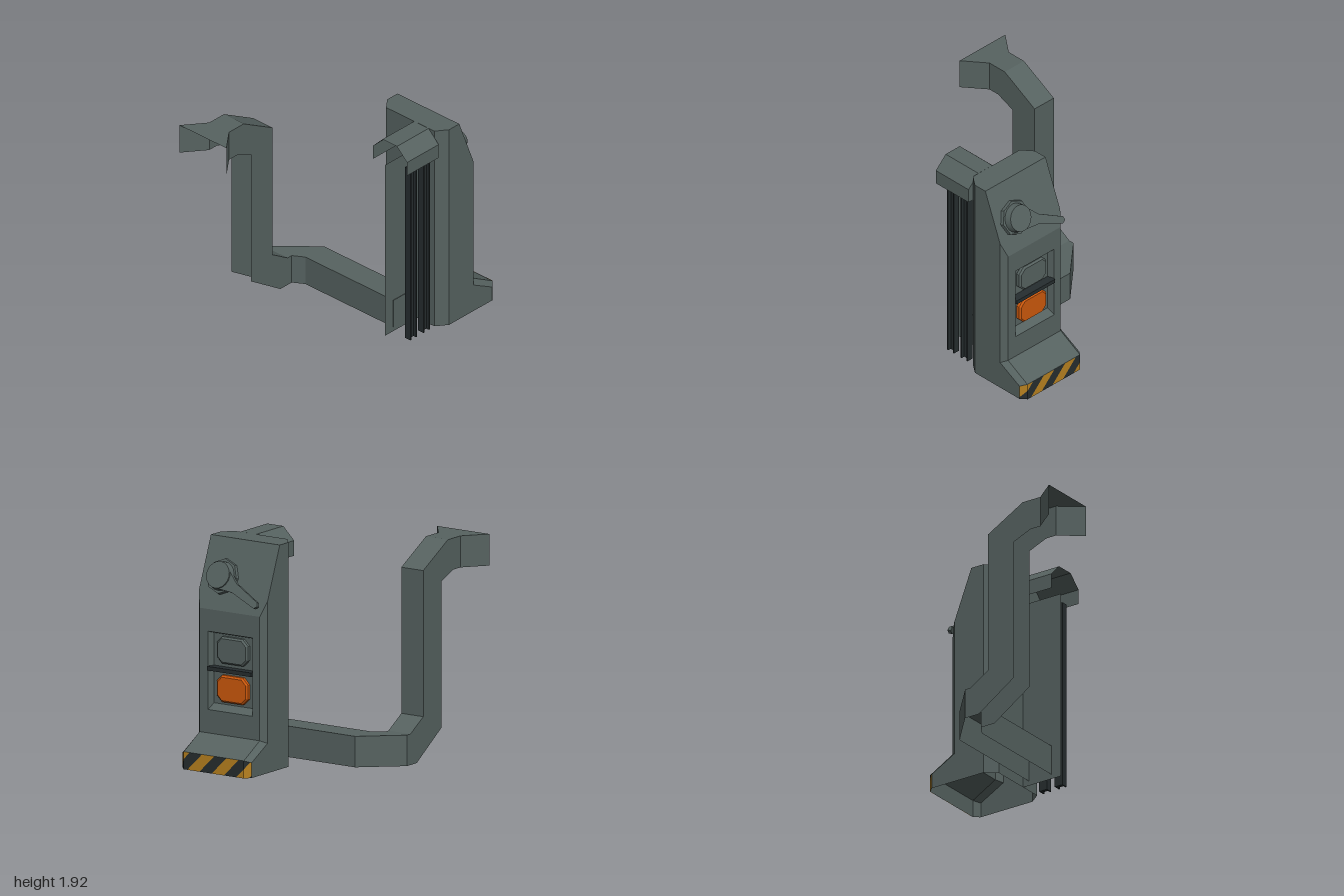
import * as THREE from 'three';

const paint = (name, color) =>
  new THREE.MeshStandardMaterial({ name, color, side: THREE.DoubleSide });

// Flat-faced mesh from convex polygons of [x, y, z] corners
function facets(name, polygons, material) {
  const positions = [];
  for (const p of polygons) {
    for (let i = 1; i < p.length - 1; i++) positions.push(...p[0], ...p[i], ...p[i + 1]);
  }
  const geometry = new THREE.BufferGeometry();
  geometry.setAttribute('position', new THREE.Float32BufferAttribute(positions, 3));
  geometry.computeVertexNormals();
  return named(name, geometry, material);
}

function named(name, geometry, material) {
  const mesh = new THREE.Mesh(geometry, material);
  mesh.name = name;
  return mesh;
}

// Quads joining successive cross-sections
function loft(loops, closed, skip = () => false) {
  const quads = [];
  for (let l = 0; l < loops.length - 1; l++) {
    const lo = loops[l], hi = loops[l + 1], n = lo.length;
    for (let i = 0; i < (closed ? n : n - 1); i++) {
      const j = (i + 1) % n;
      if (!skip(l, i)) quads.push([lo[i], lo[j], hi[j], hi[i]]);
    }
  }
  return quads;
}

// Keeps the part of a 2D polygon where f(point) >= 0
function clip(polygon, f) {
  const out = [];
  polygon.forEach((p, i) => {
    const q = polygon[(i + 1) % polygon.length], a = f(p), b = f(q);
    if (a >= 0) out.push(p);
    if (a * b < 0) {
      const t = a / (a - b);
      out.push([p[0] + (q[0] - p[0]) * t, p[1] + (q[1] - p[1]) * t]);
    }
  });
  return out;
}

export function createModel() {
  const model = new THREE.Group();
  model.name = 'controlPost';
  const grey = paint('greyMetal', 0x566260);
  const dark = paint('darkMetal', 0x262d2f);
  const yellow = paint('warningYellow', 0xb8811f);
  const orange = paint('buttonOrange', 0xcc580c);

  // Cabinet: stacked octagonal sections, open underneath
  const section = (back, sideY, sideZ, frontY, frontZ) => [
    [0.25, back, -0.32], [0.8, back, -0.32], [0.875, back, -0.42],
    [0.875, sideY, sideZ], [0.83, frontY, frontZ], [0.215, frontY, frontZ],
    [0.17, sideY, sideZ], [0.17, back, -0.42],
  ];
  const levels = [
    section(0, 0, -0.95, 0, -1),
    section(0.14, 0.13, -0.95, 0.15, -1),
    section(0.26, 0.255, -0.72, 0.28, -0.77),
    section(1.4, 1.47, -0.72, 1.34, -0.77),
    section(1.92, 1.92, -0.545, 1.92, -0.545),
  ];
  const shell = loft(levels, true, (l, i) => l === 2 && i === 4);
  shell.push(levels[4]);
  model.add(facets('cabinet', shell, grey));

  // Front panel with a recessed button bay
  const frame = (x0, x1, y0, y1, z) => [[x1, y0, z], [x0, y0, z], [x0, y1, z], [x1, y1, z]];
  const bay = [
    frame(0.215, 0.83, 0.28, 1.34, -0.77),
    frame(0.29, 0.745, 0.48, 1.15, -0.77),
    frame(0.31, 0.725, 0.53, 1.13, -0.71),
  ];
  model.add(facets('buttonBay', [...loft(bay, true), bay[2]], grey));

  // Buttons with cut corners and the bar between them
  const w = 0.145, h = 0.1, c = 0.045;
  const outline = [[-w + c, -h], [w - c, -h], [w, -h + c], [w, h - c],
    [w - c, h], [-w + c, h], [-w, h - c], [-w, -h + c]];
  const buttonShape = new THREE.Shape(outline.map(([x, y]) => new THREE.Vector2(x, y)));
  for (const [name, y, material] of [['upperButton', 1.0, grey], ['lowerButton', 0.67, orange]]) {
    const button = named(name, new THREE.ExtrudeGeometry(buttonShape, {
      depth: 0.025, bevelThickness: 0.015, bevelSize: 0.015, bevelSegments: 1,
    }), material);
    button.position.set(0.515, y, -0.74);
    model.add(button);
  }
  const bar = named('buttonBar', new THREE.BoxGeometry(0.45, 0.035, 0.08), dark);
  bar.position.set(0.5175, 0.835, -0.745);
  model.add(bar);

  // Diagonal warning stripes wrapped around the toe
  const chamfer = 0.067, total = 0.749, off = 0.003;
  const sides = [
    [0, chamfer, (s, y) => [0.875 - s * 0.67, y, -0.95 - s * 0.745 - off]],
    [chamfer, total - chamfer, (s, y) => [0.83 - (s - chamfer), y, -1]],
    [total - chamfer, total, (s, y) => [0.17 + (total - s) * 0.67, y, -0.95 - (total - s) * 0.745 - off]],
  ];
  const stripes = { dark: [], yellow: [] };
  for (let k = -2; k < 7; k++) {
    const a = -0.02 + k * 0.125, b = a + 0.125;
    for (const [s0, s1, place] of sides) {
      let p = [[a, 0], [b, 0], [b + 0.15, 0.15], [a + 0.15, 0.15]];
      p = clip(p, ([s]) => s - s0);
      p = clip(p, ([s]) => s1 - s);
      p = clip(p, ([s, y]) => 0.13 + 0.3 * s - y);
      p = clip(p, ([s, y]) => 0.13 + 0.3 * (total - s) - y);
      if (p.length < 3) continue;
      stripes[k % 2 === 0 ? 'dark' : 'yellow'].push(p.map(([s, y]) => {
        const q = place(s, y);
        if (s0 === chamfer) q[2] -= off;
        return q;
      }));
    }
  }
  model.add(facets('darkStripes', stripes.dark, dark));
  model.add(facets('yellowStripes', stripes.yellow, yellow));

  // Rotary handle lying on the sloped face: local y points out, local z up the slope
  const handle = new THREE.Group();
  handle.name = 'rotaryHandle';
  handle.position.set(0.66, 1.608, -0.666);
  handle.rotation.x = -1.2;
  const flange = named('handleFlange', new THREE.CylinderGeometry(0.15, 0.155, 0.03, 8).toNonIndexed(), grey);
  flange.geometry.computeVertexNormals();
  flange.position.y = 0.015;
  const hub = named('handleHub', new THREE.CylinderGeometry(0.115, 0.125, 0.06, 20), grey);
  hub.position.y = 0.06;
  const blade = new THREE.Shape();
  blade.moveTo(0.03, 0.11);
  blade.lineTo(-0.17, 0.13);
  blade.lineTo(-0.42, 0.235);
  blade.lineTo(-0.45, 0.215);
  blade.lineTo(-0.44, 0.18);
  blade.lineTo(-0.2, 0.05);
  blade.lineTo(-0.1, -0.05);
  blade.lineTo(0.03, -0.05);
  blade.closePath();
  const lever = named('handleLever',
    new THREE.ExtrudeGeometry(blade, { depth: 0.035, bevelEnabled: false }).rotateX(-Math.PI / 2), grey);
  lever.position.y = 0.045;
  handle.add(flange, hub, lever);
  model.add(handle);

  // Hood over the rails: bent sheet, open in front, closed at the cabinet
  const hoodEdge = (z) => [[0.85, 1.68, z], [0.85, 1.81, z], [0.735, 1.92, z],
    [0.57, 1.92, z], [0.46, 1.81, z], [0.46, 1.68, z]];
  const hoodBack = hoodEdge(-0.319);
  model.add(facets('railHood', [...loft([hoodEdge(0.07), hoodBack], false), hoodBack], grey));

  // Backing plate and two channel rails
  model.add(facets('railPlate', [[[0.6, 0, 0.07], [0.6, 0, -0.32], [0.6, 1.68, -0.32], [0.6, 1.68, 0.07]]], grey));
  for (const z of [-0.06, -0.22]) {
    const rail = new THREE.Group();
    rail.name = 'rail';
    const web = named('railWeb', new THREE.BoxGeometry(0.03, 1.68, 0.08), dark);
    web.position.set(0.76, 0.84, z);
    rail.add(web);
    for (const side of [-1, 1]) {
      const lip = named('railLip', new THREE.BoxGeometry(0.03, 1.68, 0.012), dark);
      lip.position.set(0.79, 0.84, z + side * 0.034);
      rail.add(lip);
    }
    model.add(rail);
  }

  // Cable tray: U-channel running sideways, forward, up and out to a flared mouth
  const flat = (bx, bz, ax, az) => [[bx, 0.04, bz], [bx, 0.305, bz], [ax, 0.305, az], [ax, 0.04, az]];
  const rise = (openY, openZ, wallY, wallZ, bx = -0.5, ax = -0.725) => [
    [bx, openY, openZ], [bx, wallY, wallZ], [ax, wallY, wallZ], [ax, openY, openZ]];
  model.add(facets('cableTray', loft([
    flat(0.605, -0.03, 0.605, -0.26),
    flat(-0.4, -0.03, -0.4, -0.26),
    flat(-0.5, 0.03, -0.725, 0.03),
    rise(0.04, 0.17, 0.305, 0.08),
    rise(0.28, 0.53, 0.42, 0.265),
    rise(1.53, 0.53, 1.67, 0.265),
    rise(1.6, 0.7, 1.87, 0.62),
    rise(1.6, 0.8, 1.87, 0.8),
    rise(1.6, 1, 1.87, 1, -0.345, -0.88),
  ], false), grey));

  return model;
}
